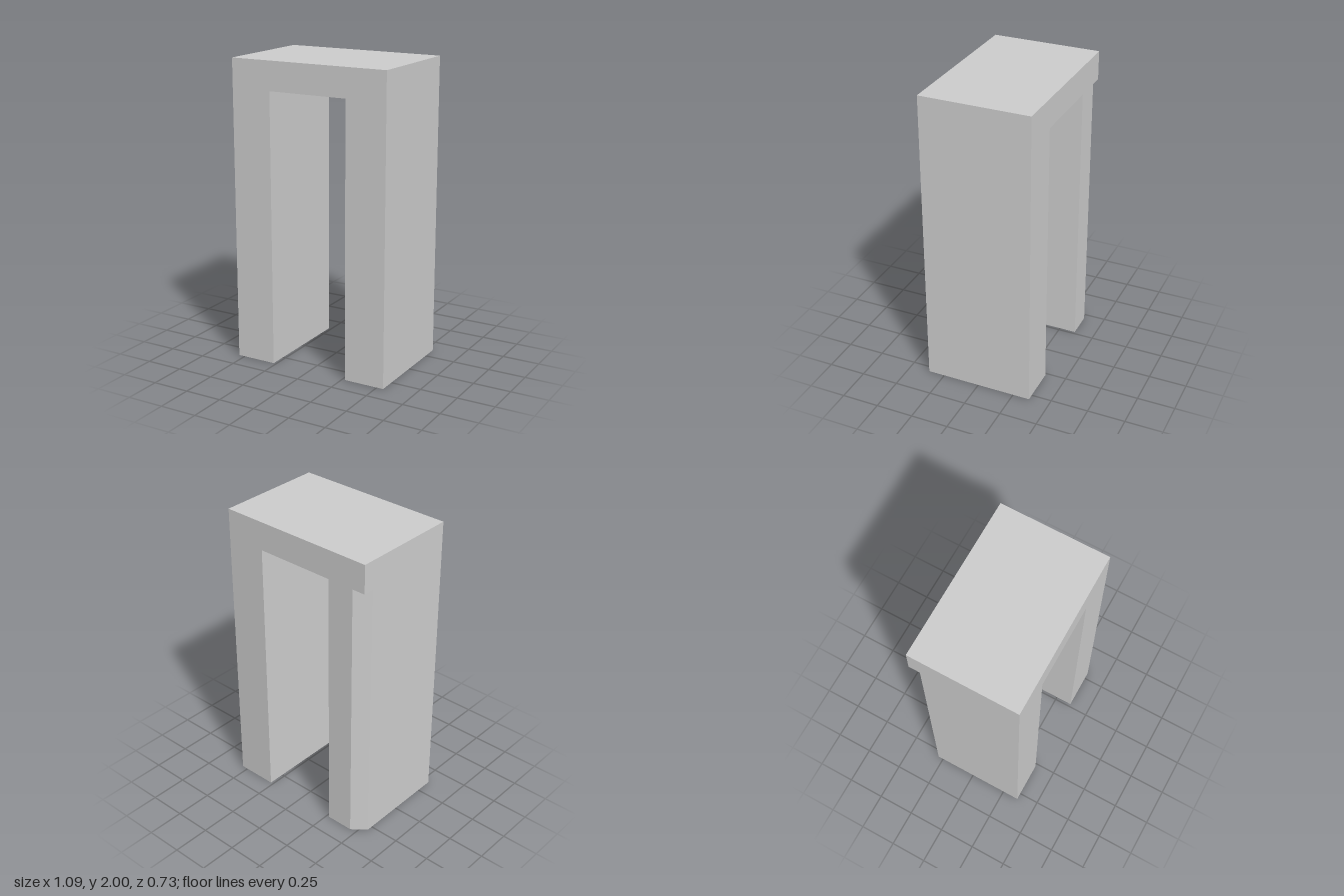
import * as THREE from 'three';

const W = 0.545, D = 0.3625, INNER = 0.27, SPRING = 1.81, TOP = 2;

export function createModel() {
  const group = new THREE.Group();
  const material = new THREE.MeshStandardMaterial({ color: 0xcccccc, flatShading: true });
  const add = (name, geometry) => {
    const mesh = new THREE.Mesh(geometry, material);
    mesh.name = name;
    group.add(mesh);
  };

  // Pier: a footprint of [x, z] corners raised to the underside of the lintel
  const pier = (name, corners) => {
    const shape = new THREE.Shape(corners.map(([x, z]) => new THREE.Vector2(x, -z)));
    const geometry = new THREE.ExtrudeGeometry(shape, { depth: SPRING, bevelEnabled: false });
    add(name, geometry.rotateX(-Math.PI / 2));
  };

  pier('leftPier', [[INNER, D], [W, D], [W, -D], [INNER, -D]]);

  // The right pier has its outer back corner cut off
  pier('rightPier', [[-W, D], [-INNER, D], [-INNER, -D], [-W + 0.09, -D], [-W, -D + 0.075]]);

  // Lintel across both piers
  const lintel = new THREE.BoxGeometry(2 * W, TOP - SPRING, 2 * D);
  add('lintel', lintel.translate(0, (TOP + SPRING) / 2, 0));

  return group;
}
